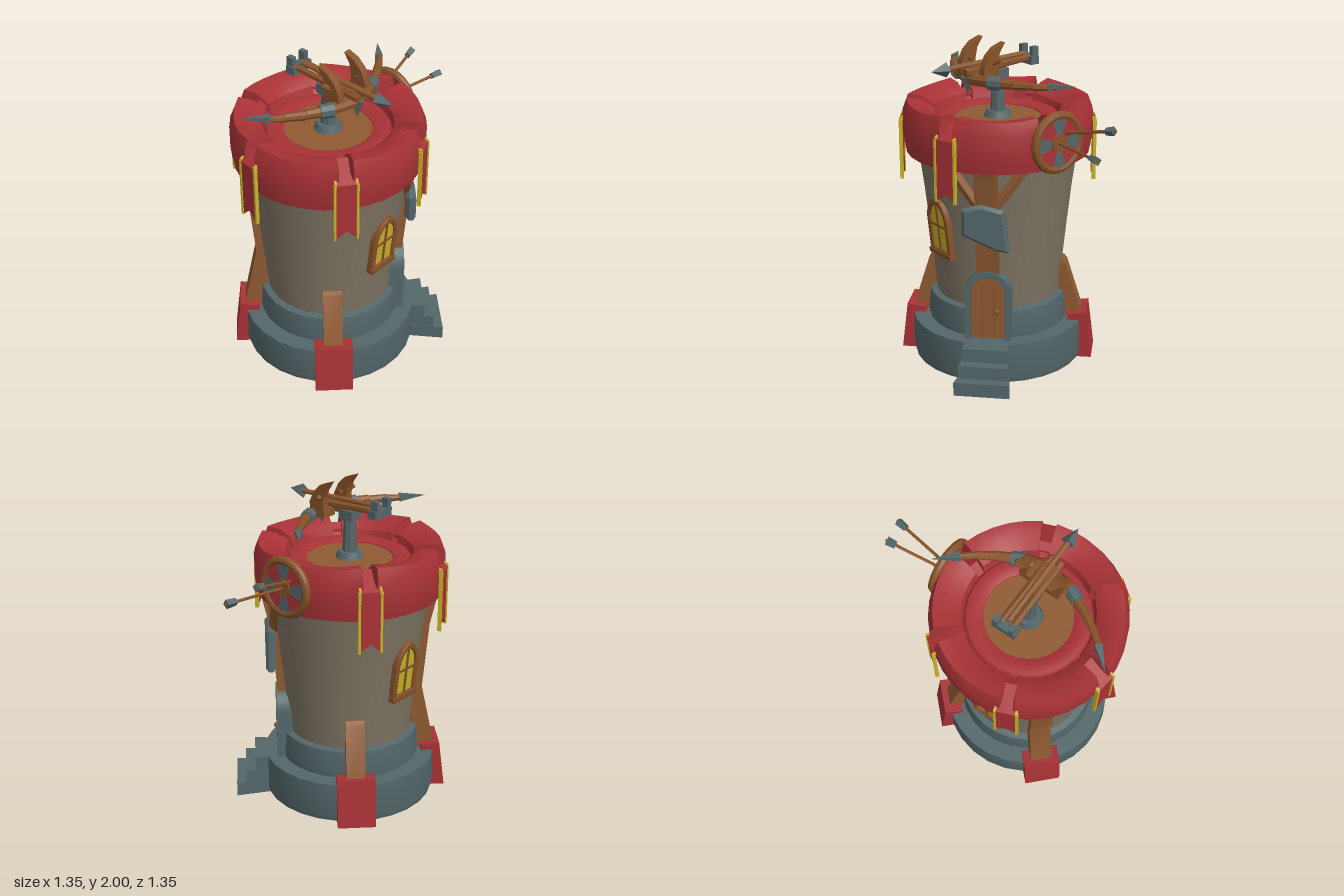
import * as THREE from 'three';
import { toCreasedNormals } from 'three/addons/utils/BufferGeometryUtils.js';

const mat = (name, color) => new THREE.MeshStandardMaterial({ name, color });
const M = {
  red: mat('red cloth', 0xa83236), grey: mat('blue grey stone', 0x54676a),
  wall: mat('wall plaster', 0x7d7463), wood: mat('wood', 0x8f5a32),
  bowWood: mat('dark wood', 0x875229), yellow: mat('yellow trim', 0xc8b428),
};
const V = (x, y, z) => new THREE.Vector3(x, y, z);
const P = (pts) => pts.map(([x, y]) => new THREE.Vector2(x, y));

function add(parent, name, geo, material, x = 0, y = 0, z = 0) {
  const m = new THREE.Mesh(toCreasedNormals(geo, 0.6), material);
  m.name = name;
  m.position.set(x, y, z);
  parent.add(m);
  return m;
}
const box = (p, name, m, w, h, d, x, y, z) => add(p, name, new THREE.BoxGeometry(w, h, d), m, x, y, z);
const lathe = (p, name, m, pts, n = 28) => add(p, name, new THREE.LatheGeometry(P(pts), n), m);

// Tapered rod between two points
function rod(p, name, m, a, b, r0, r1 = r0, sides = 8) {
  const d = b.clone().sub(a);
  const mesh = add(p, name, new THREE.CylinderGeometry(r1, r0, d.length(), sides), m);
  mesh.position.copy(a).add(b).multiplyScalar(0.5);
  mesh.quaternion.setFromUnitVectors(V(0, 1, 0), d.normalize());
  return mesh;
}
// Plate facing +z
function plate(p, name, m, shape, depth, z, bevel = 0) {
  const geo = new THREE.ExtrudeGeometry(shape, { depth, bevelEnabled: bevel > 0, bevelSize: bevel, bevelThickness: bevel, bevelSegments: 1, curveSegments: 10 });
  return add(p, name, geo, m, 0, 0, z);
}
// Side profile given as (z, y), widened along x
function sideProfile(p, name, m, pts, width, x = 0) {
  const geo = new THREE.ExtrudeGeometry(new THREE.Shape(P(pts)), { depth: width, bevelEnabled: false });
  geo.translate(0, 0, -width / 2).rotateY(-Math.PI / 2);
  return add(p, name, geo, m, x);
}
// Group whose +z points outward at an angle around the tower
function outward(parent, name, deg) {
  const g = new THREE.Group();
  g.name = name;
  g.rotation.y = THREE.MathUtils.degToRad(90 - deg);
  parent.add(g);
  return g;
}
// Round or pointed arch outline
function arch(w, y0, spring, top, pointed, Type = THREE.Shape) {
  const s = new Type();
  s.moveTo(-w, y0).lineTo(w, y0).lineTo(w, spring);
  if (pointed) {
    s.quadraticCurveTo(w * 0.85, top - 0.03, 0, top);
    s.quadraticCurveTo(-w * 0.85, top - 0.03, -w, spring);
  } else s.absellipse(0, spring, w, top - spring, 0, Math.PI, false, 0);
  s.lineTo(-w, y0);
  return s;
}

function buildWindow(t, deg) {
  const g = outward(t, 'window', deg);
  const w = new THREE.Group();
  w.position.set(0, 0.9, 0.428);
  w.rotation.x = 0.11;
  g.add(w);
  const frame = arch(0.1, -0.17, 0.06, 0.195, true);
  frame.holes.push(arch(0.078, -0.142, 0.06, 0.168, true, THREE.Path));
  plate(w, 'windowFrame', M.bowWood, frame, 0.035, -0.015, 0.006);
  plate(w, 'windowPane', M.yellow, arch(0.085, -0.15, 0.06, 0.175, true), 0.009, 0.006);
  box(w, 'mullion', M.bowWood, 0.014, 0.3, 0.012, 0, 0.01, 0.016);
  box(w, 'transom', M.bowWood, 0.15, 0.014, 0.012, 0, 0.02, 0.016);
  box(w, 'windowSill', M.bowWood, 0.215, 0.03, 0.045, 0, -0.165, 0.01);
}

function buildBanner(t, deg) {
  const g = outward(t, 'banner', deg);
  const cloth = new THREE.Shape(P([[-0.06, 1.15], [0, 1.2], [0.06, 1.15], [0.06, 1.51], [-0.06, 1.51]]));
  plate(g, 'bannerCloth', M.red, cloth, 0.012, 0.575);
  // Cloth and trims run up over the seam of the parapet
  const over = [[0.59, 1.5], [0.59, 1.515], [0.44, 1.6], [0.395, 1.57], [0.395, 1.55], [0.44, 1.58]];
  sideProfile(g, 'bannerTop', M.red, over, 0.11);
  for (const s of [-1, 1]) {
    box(g, 'bannerTrim', M.yellow, 0.014, 0.37, 0.022, s * 0.064, 1.33, 0.582);
    sideProfile(g, 'bannerTopTrim', M.yellow, over.map(([r, y], i) => [r, y + (i > 0 && i < 4 ? 0.012 : 0)]), 0.012, s * 0.06);
  }
}

function buildBallista(t) {
  const w = outward(t, 'ballista', 45);
  add(w, 'swivelBase', new THREE.CylinderGeometry(0.07, 0.09, 0.05, 12), M.grey, 0, 1.54, 0);
  add(w, 'swivelColumn', new THREE.CylinderGeometry(0.036, 0.045, 0.24, 8), M.grey, 0, 1.66, 0);
  box(w, 'swivelHead', M.grey, 0.09, 0.06, 0.1, 0, 1.79, 0);
  box(w, 'stockBlock', M.bowWood, 0.08, 0.06, 0.2, 0, 1.83, 0.12);
  // Stock rails, bolt and rear catch
  for (const s of [-1, 1]) {
    rod(w, 'stockRail', M.bowWood, V(s * 0.035, 1.86, -0.22), V(s * 0.03, 1.83, 0.26), 0.02, 0.026, 6);
    box(w, 'catchProng', M.grey, 0.032, 0.09, 0.045, s * 0.05, 1.88, -0.235);
    // Curved horn
    sideProfile(w, 'horn', M.bowWood, [[0.085, 1.8], [0.195, 1.79], [0.2, 1.86], [0.165, 1.93], [0.115, 1.975], [0.045, 2.0], [0.085, 1.94], [0.1, 1.87]], 0.045, s * 0.11);
    box(w, 'hornFoot', M.bowWood, 0.1, 0.05, 0.1, s * 0.08, 1.8, 0.14);
    rod(w, 'hornPeg', M.bowWood, V(s * 0.09, 1.87, 0.15), V(s * 0.16, 1.91, 0.1), 0.022, 0.014, 6);
    // Bow arm
    const arm = [[0, 0.21, 0.038], [0.16, 0.175, 0.034], [0.3, 0.105, 0.028], [0.4, 0.04, 0.023], [0.5, -0.04, 0.016]];
    for (let i = 0; i < arm.length - 1; i++) {
      const [x0, z0, r0] = arm[i], [x1, z1, r1] = arm[i + 1];
      rod(w, 'bowArm', M.bowWood, V(s * x0, 1.785, z0), V(s * x1, 1.79, z1), r0, r1);
    }
    rod(w, 'bowCollar', M.grey, V(s * 0.155, 1.786, 0.178), V(s * 0.225, 1.788, 0.142), 0.044, 0.04);
    rod(w, 'bowTip', M.grey, V(s * 0.46, 1.79, -0.01), V(s * 0.575, 1.8, -0.118), 0.032, 0.001, 4);
  }
  box(w, 'rearCatch', M.grey, 0.15, 0.05, 0.06, 0, 1.845, -0.225);
  rod(w, 'bolt', M.wood, V(0, 1.88, -0.2), V(0, 1.86, 0.4), 0.016);
  rod(w, 'boltTip', M.grey, V(0, 1.86, 0.37), V(0, 1.86, 0.475), 0.045, 0.001, 4);
  rod(w, 'hangingSpike', M.grey, V(0, 1.8, 0.22), V(0, 1.69, 0.22), 0.05, 0.001, 4);
}

function buildTarget(t) {
  const g = outward(t, 'target', -45);
  const c = new THREE.Group();
  c.position.set(0, 1.49, 0.565);
  g.add(c);
  add(c, 'targetRim', new THREE.TorusGeometry(0.16, 0.026, 8, 24), M.bowWood);
  add(c, 'targetFace', new THREE.CylinderGeometry(0.155, 0.155, 0.03, 24).rotateX(Math.PI / 2), M.red);
  for (let i = 0; i < 4; i++) {
    add(c, 'targetPatch', new THREE.RingGeometry(0.05, 0.143, 4, 1, i * Math.PI / 2 - 0.36, 0.72), M.grey, 0, 0, 0.018);
  }
  add(c, 'targetHub', new THREE.CylinderGeometry(0.055, 0.055, 0.05, 12).rotateX(Math.PI / 2), M.bowWood);
  // Arrows stuck in the target
  for (const [a, b] of [[V(0, 1.49, 0.57), V(-0.061, 1.495, 0.985)], [V(0.05, 1.54, 0.57), V(0.117, 1.62, 0.92)]]) {
    rod(g, 'arrowShaft', M.bowWood, a, b, 0.009, 0.009, 6);
    rod(g, 'arrowFletching', M.grey, a.clone().lerp(b, 0.82), a.clone().lerp(b, 0.98), 0.022, 0.027, 4);
  }
}

export function createModel() {
  const root = new THREE.Group();
  root.name = 'watchtower';
  const t = new THREE.Group();
  t.name = 'tower';
  t.position.set(-0.075, 0, 0.068);
  root.add(t);

  // Footing, wall and platform
  lathe(t, 'stoneFooting', M.grey, [[0, 0.24], [0.27, 0.23], [0.285, 0.12], [0.32, 0.04], [0.39, 0], [0.528, 0], [0.538, 0.04], [0.535, 0.25], [0.433, 0.25], [0.437, 0.29], [0.425, 0.42], [0.37, 0.43]]);
  lathe(t, 'wall', M.wall, [[0.383, 0.4], [0.4, 0.6], [0.425, 0.85], [0.452, 1.1], [0.487, 1.36]], 32);
  lathe(t, 'parapetCore', M.red, [[0.47, 1.335], [0.54, 1.335], [0.56, 1.5], [0.44, 1.575], [0.375, 1.52], [0.36, 1.54], [0.31, 1.55], [0.26, 1.53], [0.255, 1.5]]);
  add(t, 'platformFloor', new THREE.CylinderGeometry(0.27, 0.27, 0.04, 24), M.wood, 0, 1.505, 0);

  // Padded parapet segments, bent around the tower
  const profile = P([[0.47, 1.33], [0.556, 1.33], [0.572, 1.42], [0.572, 1.56], [0.545, 1.63], [0.46, 1.62], [0.385, 1.57], [0.362, 1.5], [0.4, 1.42]]);
  for (let k = 0; k < 6; k++) {
    const start = THREE.MathUtils.degToRad(23 + 60 * k + 4), len = THREE.MathUtils.degToRad(52);
    const geo = new THREE.ExtrudeGeometry(new THREE.Shape(profile), { depth: len, steps: 5, bevelEnabled: false });
    const p = geo.attributes.position;
    for (let i = 0; i < p.count; i++) {
      const r = p.getX(i), y = p.getY(i), e = Math.abs((p.getZ(i) / len) * 2 - 1);
      const lift = y > 1.5 ? 0.015 * e * e : 0;
      // Ends meet low down and part towards the top
      const spread = y > 1.55 ? 0.98 : y > 1.4 ? 1.04 : 1.14;
      const a = start + (p.getZ(i) - len / 2) * spread + len / 2;
      p.setXYZ(i, r * Math.cos(a), y + lift, r * Math.sin(a));
    }
    geo.computeVertexNormals();
    add(t, 'parapetSegment', geo, M.red);
    if (k < 5) buildBanner(t, 23 + 60 * k);
  }

  // Buttresses with red feet: short at front and back, tall at the sides
  const tall = [[0.4, 0.25], [0.54, 0.25], [0.45, 0.68], [0.487, 1.1], [0.545, 1.35], [0.43, 1.35], [0.4, 1.1], [0.37, 0.68]];
  const doorPost = [[0.37, 0.6], [0.43, 0.6], ...tall.slice(2)];
  const short = [[0.42, 0.25], [0.54, 0.25], [0.43, 0.6], [0.41, 0.625], [0.36, 0.625]];
  for (const [deg, beam, width] of [[0, doorPost, 0.135], [90, short, 0.115], [180, tall, 0.135], [270, short, 0.115]]) {
    const g = outward(t, 'buttress', deg);
    sideProfile(g, 'buttressBeam', M.wood, beam, width);
    if (deg) sideProfile(g, 'buttressFoot', M.red, [[0.44, 0], [0.603, 0], [0.565, 0.3], [0.45, 0.285]], 0.23);
  }

  // Door side: braces, shield plate, door and steps
  const d = outward(t, 'doorSide', 0);
  for (const s of [-1, 1]) rod(d, 'brace', M.wood, V(s * 0.02, 1.06, 0.46), V(s * 0.23, 1.36, 0.45), 0.035, 0.035, 6);
  const shield = new THREE.Shape(P([[-0.125, 0.945], [0.06, 0.863], [0.118, 0.853], [0.09, 1.08], [-0.03, 1.108], [-0.125, 1.08]]));
  plate(d, 'shieldPlate', M.grey, shield, 0.025, 0.475, 0.018);
  const frame = arch(0.138, 0.24, 0.55, 0.69, false);
  frame.holes.push(arch(0.103, 0.252, 0.55, 0.655, false, THREE.Path));
  plate(d, 'doorFrame', M.grey, frame, 0.1, 0.36);
  plate(d, 'door', M.wood, arch(0.106, 0.245, 0.55, 0.658, false), 0.08, 0.36);
  for (const x of [-0.035, 0.035]) box(d, 'doorBoardSeam', M.bowWood, 0.006, 0.38, 0.006, x, 0.44, 0.441);
  add(d, 'doorKnob', new THREE.SphereGeometry(0.018, 10, 8), M.bowWood, 0.055, 0.435, 0.46);
  box(d, 'doorLatch', M.bowWood, 0.05, 0.012, 0.012, 0.04, 0.435, 0.446);
  // Each step widens outward
  for (const [r, w, y] of [[0.72, 0.168, 0], [0.66, 0.152, 0.08], [0.6, 0.138, 0.165]]) {
    const step = new THREE.Shape(P([[-0.115, -0.42], [-w, -r], [w, -r], [0.115, -0.42]]));
    const geo = new THREE.ExtrudeGeometry(step, { depth: 0.085, bevelEnabled: false }).rotateX(-Math.PI / 2);
    add(d, 'step', geo, M.grey, 0, y, 0);
  }

  buildWindow(t, 45);
  buildWindow(t, 225);
  buildTarget(t);
  buildBallista(t);
  return root;
}
